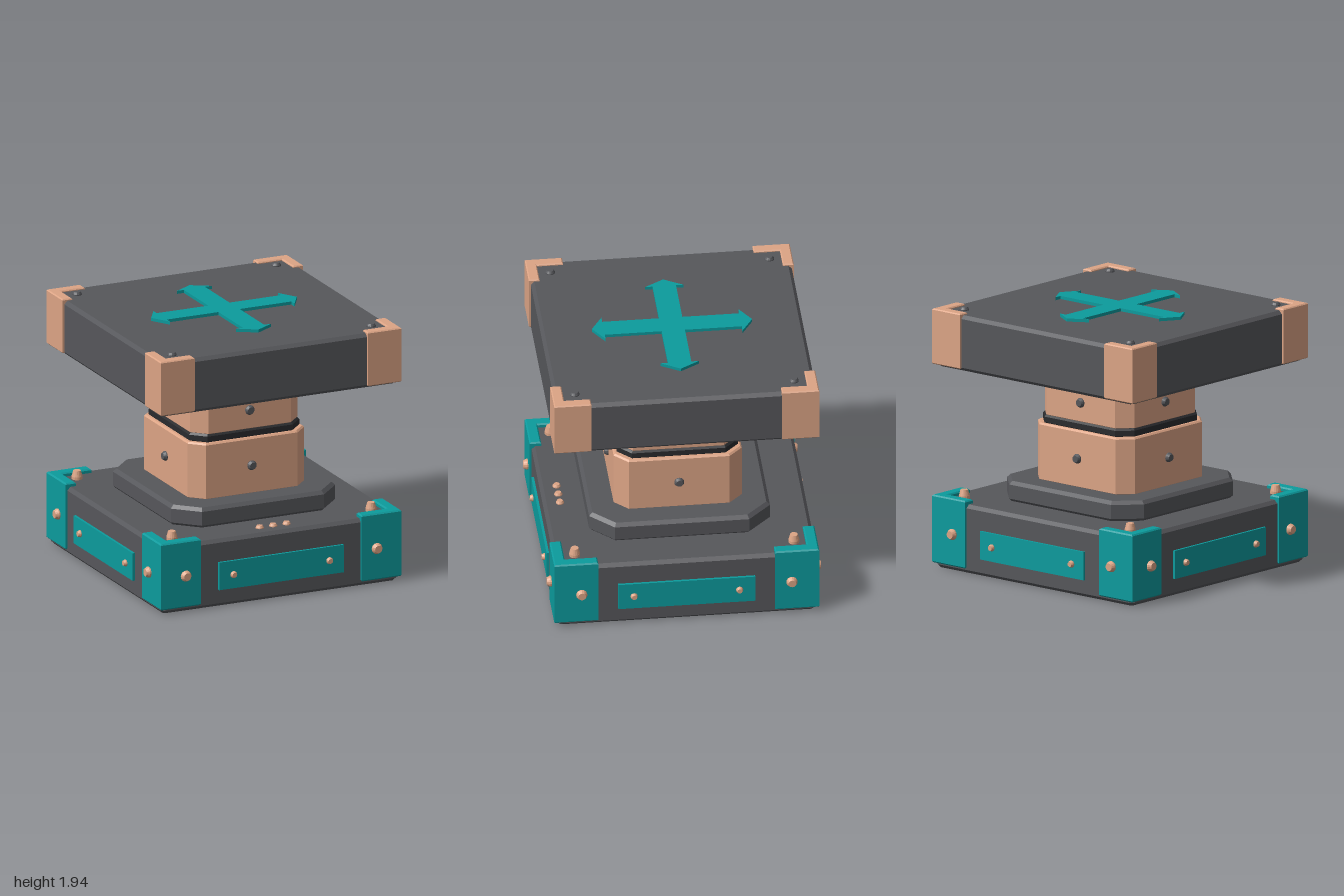
import * as THREE from 'three';

const mat = (color) => new THREE.MeshStandardMaterial({ color });
const dark = mat(0x56575b), black = mat(0x2a2b2e), peach = mat(0xdca485), teal = mat(0x0c9b9d);

export function createModel() {
  const model = new THREE.Group();

  function add(name, geometry, material, parent = model) {
    const mesh = new THREE.Mesh(geometry, material);
    mesh.name = name;
    parent.add(mesh);
    return mesh;
  }

  // Upright prism from a plan outline, with bevelled top and bottom edges
  function prism(points, y0, y1, bevel, segments = 1) {
    const shape = new THREE.Shape(points.map(([x, z]) => new THREE.Vector2(x, -z)));
    const g = new THREE.ExtrudeGeometry(shape, {
      depth: y1 - y0 - 2 * bevel, bevelEnabled: bevel > 0, bevelThickness: bevel,
      bevelSize: bevel, bevelOffset: -bevel, bevelSegments: segments,
    });
    return g.rotateX(-Math.PI / 2).translate(0, y0 + bevel, 0);
  }

  // Square with cut corners
  function cutSquare(h, c) {
    const k = h - c;
    return [[k, h], [h, k], [h, -k], [k, -h], [-k, -h], [-h, -k], [-h, k], [-k, h]];
  }

  // Rivet with a tapered head, growing along +y
  function rivet(r, h) {
    const profile = [[r, 0], [r, h * 0.35], [r * 0.7, h], [0, h]];
    const g = new THREE.LatheGeometry(profile.map(([x, y]) => new THREE.Vector2(x, y)), 16).toNonIndexed();
    g.computeVertexNormals();
    return g;
  }

  // Calls build with a group for each of the four sides, its local +z facing out
  function fourSides(name, build) {
    for (let i = 0; i < 4; i++) {
      const side = new THREE.Group();
      side.name = name + (i + 1);
      side.rotation.y = i * Math.PI / 2;
      build(side);
      model.add(side);
    }
  }

  function sideRivet(name, parent, material, x, y, z, r, h) {
    const m = add(name, rivet(r, h), material, parent);
    m.rotation.x = Math.PI / 2;
    m.position.set(x, y, z);
  }

  // L-shaped corner guard in plan
  const guard = (inner, t) => {
    const o = 0.967, k = o - t;
    return [[o, o], [o, inner], [k, inner], [k, k], [inner, k], [inner, o]];
  };

  // Stacked body, from the floor up
  add('base', prism(cutSquare(0.952, 0.03), 0, 0.51, 0.025), dark);
  add('lowerCollar', prism(cutSquare(0.66, 0.17), 0.505, 0.66, 0.025), dark);
  add('lowerColumn', prism(cutSquare(0.468, 0.1), 0.65, 1.08, 0.012), peach);
  add('columnSeal', prism(cutSquare(0.442, 0.1), 1.07, 1.14, 0.015), black);
  add('upperColumn', prism(cutSquare(0.432, 0.1), 1.13, 1.44, 0.012), peach);
  add('upperCollar', prism(cutSquare(0.51, 0.13), 1.43, 1.51, 0.02), dark);
  add('platform', prism(cutSquare(0.952, 0.03), 1.5, 1.913, 0.025), dark);

  // Corner guards and the rivets beside them
  fourSides('corner', (side) => {
    add('baseGuard', prism(guard(0.645, 0.085), 0.035, 0.54, 0.01), teal, side);
    add('platformGuard', prism(guard(0.695, 0.08), 1.515, 1.927, 0.008), peach, side);
    add('deckRivet', rivet(0.04, 0.068), peach, side).position.set(0.8, 0.507, 0.8);
    add('platformRivet', rivet(0.035, 0.025), dark, side).position.set(0.8, 1.911, 0.8);
  });

  // Side plates, guard rivets and column bolts
  fourSides('side', (side) => {
    add('sidePlate', new THREE.BoxGeometry(1, 0.21, 0.04), teal, side).position.set(0, 0.235, 0.951);
    for (const s of [-1, 1]) {
      sideRivet('plateRivet', side, peach, s * 0.385, 0.235, 0.968, 0.026, 0.027);
      sideRivet('guardRivet', side, peach, s * 0.767, 0.275, 0.964, 0.041, 0.036);
    }
    sideRivet('lowerBolt', side, dark, 0, 0.87, 0.465, 0.036, 0.03);
    sideRivet('upperBolt', side, dark, 0, 1.28, 0.43, 0.036, 0.027);
  });

  // Three small studs on the front of the deck
  for (const x of [-0.108, 0, 0.108]) {
    add('deckStud', rivet(0.03, 0.024), peach).position.set(x, 0.508, 0.83);
  }

  // Four-way arrow on the platform
  const cross = [];
  for (let i = 0; i < 4; i++) {
    const a = i * Math.PI / 2, c = Math.cos(a), s = Math.sin(a);
    const arm = [[0.085, -0.085], [0.5, -0.085], [0.5, -0.14], [0.585, 0], [0.5, 0.14], [0.5, 0.085]];
    for (const [x, z] of arm) cross.push([x * c - z * s, x * s + z * c]);
  }
  add('fourWayArrow', prism(cross, 1.905, 1.936, 0), teal);

  return model;
}
